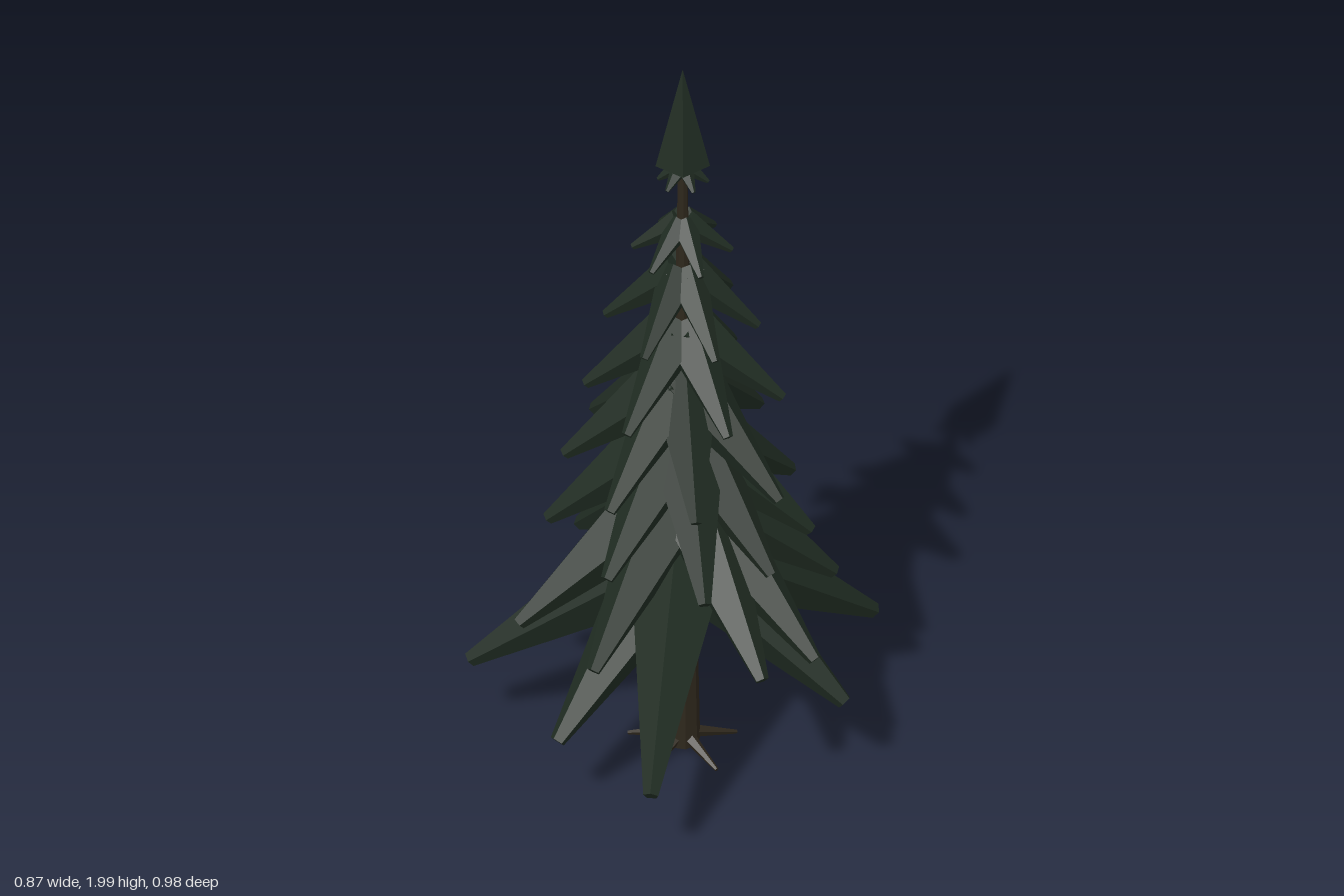
import * as THREE from 'three';

const AXIS_X = 0.009, AXIS_Z = 0.021;
const UP = new THREE.Vector3(0, 1, 0);

// Tiers from the ground up: root height, root radius, tip radius,
// then tips given as [angle in degrees (0 = +x, 90 = +z), reach, tip height].
const TIERS = [
  { y: 0.605, r: 0.13, tip: 0.019, tips: [
    [-10, 0.425, 0.265], [-60, 0.50, 0.245], [-99, 0.505, 0.24], [-136, 0.475, 0.255],
    [180, 0.412, 0.25], [148, 0.505, 0.235], [99, 0.425, 0.24], [63, 0.52, 0.235]] },
  { y: 0.785, r: 0.117, tip: 0.017, tips: [
    [6, 0.418, 0.46], [27, 0.405, 0.46], [88, 0.385, 0.46], [128, 0.405, 0.45],
    [190, 0.347, 0.475], [240, 0.35, 0.47], [267, 0.425, 0.46], [315, 0.365, 0.47]] },
  { y: 0.945, r: 0.104, tip: 0.016, tips: [
    [-30, 0.305, 0.66], [10, 0.30, 0.665], [46, 0.345, 0.67], [90, 0.31, 0.68],
    [148, 0.32, 0.66], [187, 0.298, 0.65], [224, 0.31, 0.66], [287, 0.325, 0.67]] },
  { y: 1.10, r: 0.09, tip: 0.015, tips: [
    [3, 0.292, 0.86], [48, 0.275, 0.86], [92, 0.285, 0.86], [146, 0.28, 0.86],
    [186, 0.28, 0.86], [238, 0.275, 0.86], [276, 0.275, 0.86]] },
  { y: 1.25, r: 0.074, tip: 0.013, tips: ring(6, 0.233, 1.06, 90) },
  { y: 1.41, r: 0.055, tip: 0.011, tips: ring(6, 0.18, 1.255, 90) },
  { y: 1.55, r: 0.036, tip: 0.008, tips: ring(6, 0.12, 1.47, 90) },
  { y: 1.72, r: 0.025, tip: 0.005, tips: ring(6, 0.06, 1.675, 90) }
];

// Evenly spread tips with a little irregularity
function ring(count, reach, y, start) {
  return Array.from({ length: count }, (_, i) => {
    const wobble = Math.sin(i * 2.7 + y * 9);
    return [start + i * 360 / count + wobble * 4, reach * (1 + 0.03 * wobble), y];
  });
}

// Blunt five-sided spike between two points, with one ridge along its upper side
function spike(from, to, rootRadius, tipRadius, material, name) {
  const y = to.clone().sub(from);
  const geometry = new THREE.CylinderGeometry(tipRadius, rootRadius, y.length(), 5);
  y.normalize();
  const x = new THREE.Vector3().crossVectors(y, UP).normalize();
  const z = new THREE.Vector3().crossVectors(x, y);
  const mesh = new THREE.Mesh(geometry, material);
  mesh.position.copy(from).add(to).multiplyScalar(0.5);
  mesh.quaternion.setFromRotationMatrix(new THREE.Matrix4().makeBasis(x, y, z));
  mesh.name = name;
  return mesh;
}

function polar(angle, reach, y) {
  const a = THREE.MathUtils.degToRad(angle);
  return new THREE.Vector3(Math.cos(a) * reach, y, Math.sin(a) * reach);
}

export function createModel() {
  const needles = new THREE.MeshStandardMaterial({ color: 0x202c22 });
  needles.name = 'darkGreenNeedles';
  const bark = new THREE.MeshStandardMaterial({ color: 0x2e271c });
  bark.name = 'darkBrownBark';
  needles.flatShading = bark.flatShading = true;

  const tree = new THREE.Group();
  tree.name = 'pineTree';
  const body = new THREE.Group();
  body.name = 'treeBody';
  body.position.set(AXIS_X, 0, AXIS_Z);
  tree.add(body);

  // Trunk
  const trunk = new THREE.Mesh(new THREE.CylinderGeometry(0.01, 0.042, 1.75, 8), bark);
  trunk.position.y = 0.02 + 1.75 / 2;
  trunk.name = 'trunk';
  body.add(trunk);

  // Spreading roots
  const roots = new THREE.Group();
  roots.name = 'roots';
  for (let i = 0; i < 5; i++) {
    const a = 90 + i * 72;
    roots.add(spike(polar(a, 0.01, 0.045), polar(a, 0.135, 0.01), 0.018, 0.005, bark, 'root'));
  }
  body.add(roots);

  // Drooping branch tiers
  TIERS.forEach((tier, i) => {
    const group = new THREE.Group();
    group.name = 'branchTier' + (i + 1);
    for (const [angle, reach, y] of tier.tips) {
      group.add(spike(polar(angle, 0.005, tier.y), polar(angle, reach, y),
        tier.r, tier.tip, needles, 'branch'));
    }
    body.add(group);
  });

  // Pointed crown
  const crown = new THREE.Mesh(new THREE.ConeGeometry(0.068, 0.27, 5), needles);
  crown.position.y = 1.73 + 0.27 / 2;
  crown.rotation.y = Math.PI;
  crown.name = 'crown';
  body.add(crown);

  return tree;
}
